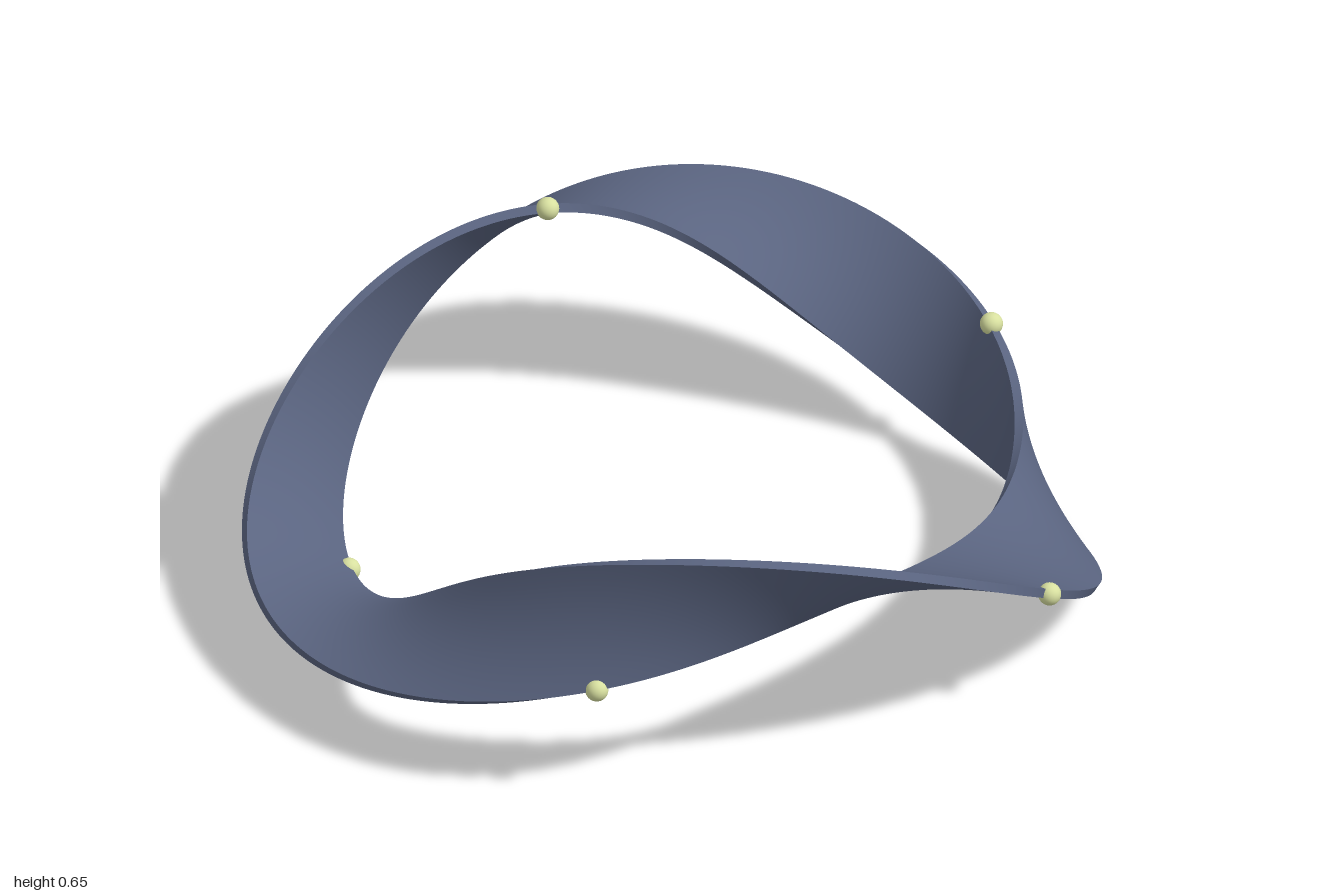
import * as THREE from 'three';

const RADIUS = 0.875, WAVE = 0.18, HALF_WIDTH = 0.15, HALF_THICK = 0.011;

// Point on the band: u runs round the loop, a goes across the width, m through the thickness.
function bandPoint(u, a, m) {
  const radial = new THREE.Vector3(Math.cos(u), 0, Math.sin(u));
  const tangent = new THREE.Vector3(-RADIUS * Math.sin(u), 2 * WAVE * Math.cos(2 * u), RADIUS * Math.cos(u)).normalize();
  const binormal = new THREE.Vector3().crossVectors(tangent, radial);
  const twist = 1.5 * u; // three half twists per lap
  const c = Math.cos(twist), s = Math.sin(twist);
  return radial.clone().multiplyScalar(RADIUS + a * c - m * s)
    .addScaledVector(binormal, a * s + m * c)
    .add(new THREE.Vector3(0, WAVE * Math.sin(2 * u), 0));
}

// Continuous surface swept for two laps, which covers both sides of the one-sided band.
function sweepStrip([a0, m0], [a1, m1], across) {
  const steps = 960, positions = [], index = [];
  for (let i = 0; i <= steps; i++) {
    const u = (i / steps) * Math.PI * 4;
    for (let j = 0; j <= across; j++) {
      const t = j / across;
      const p = bandPoint(u, THREE.MathUtils.lerp(a0, a1, t), THREE.MathUtils.lerp(m0, m1, t));
      positions.push(p.x, p.y, p.z);
      if (i < steps && j < across) {
        const k = i * (across + 1) + j, n = k + across + 1;
        index.push(k, n, k + 1, n, n + 1, k + 1);
      }
    }
  }
  const geometry = new THREE.BufferGeometry();
  geometry.setAttribute('position', new THREE.Float32BufferAttribute(positions, 3));
  geometry.setIndex(index);
  geometry.computeVertexNormals();
  return geometry;
}

export function createModel() {
  const model = new THREE.Group();
  model.name = 'twistedBand';
  const bandMaterial = new THREE.MeshStandardMaterial({ color: 0x5a6480 });
  const beadMaterial = new THREE.MeshStandardMaterial({ color: 0xd8e0a0 });

  const add = (name, geometry, material) => {
    const mesh = new THREE.Mesh(geometry, material);
    mesh.name = name;
    mesh.position.set(-0.075, 0.325, 0);
    model.add(mesh);
    return mesh;
  };

  // Broad face and narrow rim of the ribbon
  add('bandFace', sweepStrip([-HALF_WIDTH, HALF_THICK], [HALF_WIDTH, HALF_THICK], 8), bandMaterial);
  add('bandRim', sweepStrip([HALF_WIDTH, HALF_THICK], [HALF_WIDTH, -HALF_THICK], 1), bandMaterial);

  // Five beads on alternating edges
  const beadGeometry = new THREE.SphereGeometry(0.027, 24, 16);
  for (let i = 0; i < 5; i++) {
    const edge = i % 2 === 0 ? HALF_WIDTH : -HALF_WIDTH;
    add(`bead${i + 1}`, beadGeometry, beadMaterial).position.add(bandPoint((i / 5) * Math.PI * 2, edge, 0));
  }
  return model;
}
